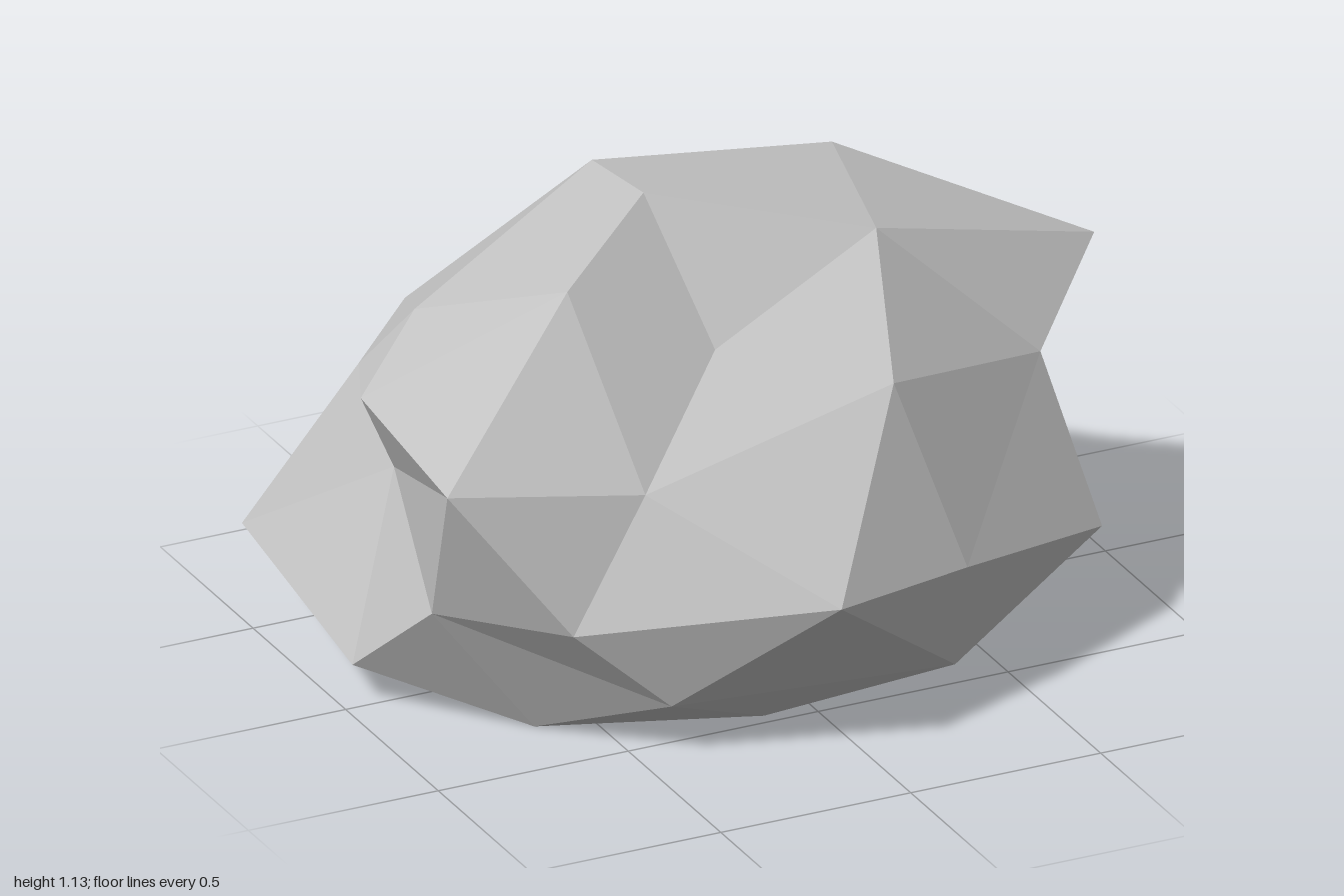
import * as THREE from 'three';

// Boulder: a dented, once-subdivided icosahedron described in rings of five,
// running from a crown point on the upper front to a foot point at the lower back.
const crown = [-0.12, 0.84, 0.19];
const foot = [-0.13, 0, -0.615];

// corner rings
const upper = [[1, 0.81, -0.06], [-0.13, 1.065, -0.455], [-0.875, 0.715, -0.175], [-0.655, 0.34, 0.523], [0.32, 0.375, 0.65]];
const lower = [[0.385, 0.51, -0.815], [-0.58, 0.405, -0.78], [-0.97, 0.1, -0.025], [-0.125, 0, 0.465], [0.71, 0.235, -0.04]];

// edge-point rings, between the corners
const crownToUpper = [[0.37, 1, 0.055], [-0.16, 1.13, -0.115], [-0.47, 1.03, 0.11], [-0.44, 0.645, 0.47], [0.225, 0.79, 0.447]];
const upperLoop = [[0.42, 1.07, -0.287], [-0.66, 0.84, -0.325], [-0.92, 0.7, 0.385], [-0.09, 0.418, 0.812], [0.735, 0.66, 0.193]];
const upperDown = [[0.67, 0.61, -0.42], [-0.515, 0.69, -0.675], [-0.79, 0.52, -0.17], [-0.425, 0.135, 0.58], [0.79, 0.285, 0.413]];
const lowerUp = [[0.265, 0.83, -0.705], [-0.77, 0.69, -0.4], [-0.89, 0.33, 0.24], [0.295, 0.12, 0.635], [0.88, 0.485, -0.175]];
const lowerLoop = [[-0.115, 0.44, -0.69], [-1, 0.25, -0.56], [-0.64, 0, 0.28], [0.3, 0, 0.22], [0.81, 0.34, -0.507]];
const lowerToFoot = [[0.25, 0.17, -0.637], [-0.3, 0.09, -0.69], [-0.57, 0, -0.34], [0, 0, -0.1], [0.37, 0, -0.365]];

function boulderGeometry() {
  const positions = [];
  const triangle = (...corners) => corners.forEach((p) => positions.push(...p));
  // one large facet split into four by its edge points
  const facet = (a, b, c, ab, bc, ca) => {
    triangle(a, ab, ca);
    triangle(ab, b, bc);
    triangle(ca, bc, c);
    triangle(ab, bc, ca);
  };
  for (let i = 0; i < 5; i++) {
    const j = (i + 1) % 5;
    facet(crown, upper[i], upper[j], crownToUpper[i], upperLoop[i], crownToUpper[j]);
    facet(upper[i], lower[i], upper[j], upperDown[i], lowerUp[i], upperLoop[i]);
    facet(upper[j], lower[i], lower[j], lowerUp[i], lowerLoop[i], upperDown[j]);
    facet(foot, lower[j], lower[i], lowerToFoot[j], lowerLoop[i], lowerToFoot[i]);
  }
  const geometry = new THREE.BufferGeometry();
  geometry.setAttribute('position', new THREE.Float32BufferAttribute(positions, 3));
  geometry.computeVertexNormals();
  return geometry;
}

export function createModel() {
  const model = new THREE.Group();
  model.name = 'rock';
  const stone = new THREE.MeshStandardMaterial({ color: 0xc3c3c3, flatShading: true });
  stone.name = 'pale stone grey';
  const boulder = new THREE.Mesh(boulderGeometry(), stone);
  boulder.name = 'boulder';
  model.add(boulder);
  return model;
}
